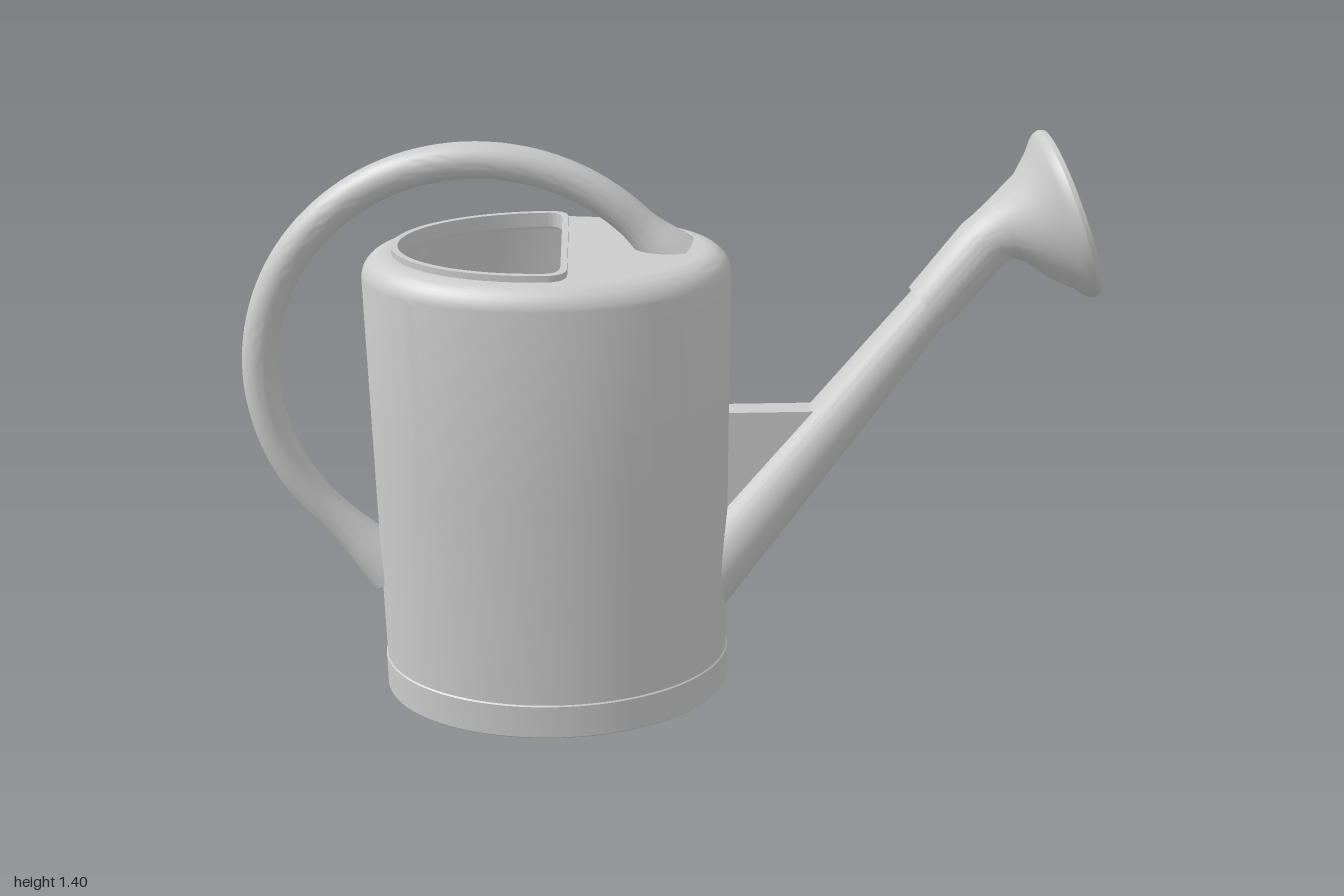
import * as THREE from 'three';
import { toCreasedNormals } from 'three/addons/utils/BufferGeometryUtils.js';

const CX = -0.28; // centre of the oval body
const TOP = 1.14;
const material = new THREE.MeshStandardMaterial({ color: 0xcccccc, side: THREE.DoubleSide });

function part(name, geometry, crease = 0.6) {
  const mesh = new THREE.Mesh(toCreasedNormals(geometry, crease), material);
  mesh.name = name;
  return mesh;
}

// Skin over circles in the xy plane's path: each section is [x, y, axisAngle, radius]
function loft(sections, sides = 48) {
  const pos = [], index = [];
  for (const [x, y, a, r] of sections) {
    for (let j = 0; j < sides; j++) {
      const t = (j / sides) * Math.PI * 2;
      const u = r * Math.cos(t);
      pos.push(x - u * Math.sin(a), y + u * Math.cos(a), r * Math.sin(t));
    }
  }
  for (let i = 0; i < sections.length - 1; i++) {
    for (let j = 0; j < sides; j++) {
      const k = (j + 1) % sides;
      const a = i * sides + j, b = i * sides + k;
      index.push(a, b, b + sides, a, b + sides, a + sides);
    }
  }
  const g = new THREE.BufferGeometry();
  g.setAttribute('position', new THREE.Float32BufferAttribute(pos, 3));
  g.setIndex(index);
  return g;
}

// D-shaped outline: half an ellipse closed by a straight edge with round corners
function dOutline(a, b, cut, Kind) {
  const s = new Kind();
  s.absellipse(0, 0, a, b, Math.PI / 2, Math.PI * 1.5, false, 0);
  s.quadraticCurveTo(cut, -b, cut, -b + 0.05);
  s.lineTo(cut, b - 0.05);
  s.quadraticCurveTo(cut, b, 0, b);
  return s;
}

function body() {
  const profile = [[0.13, 0], [0.425, 0], [0.43, 0.005], [0.43, 0.09], [0.427, 0.093], [0.427, 0.6]]
    .map(([r, y]) => new THREE.Vector2(r, y));
  for (let i = 0; i <= 10; i++) {
    const t = (i / 10) * Math.PI / 2;
    profile.push(new THREE.Vector2(0.367 + 0.06 * Math.cos(t), TOP - 0.06 + 0.06 * Math.sin(t)));
  }
  const g = new THREE.LatheGeometry(profile, 96);
  // narrow the depth by a constant amount so the shoulder stays even
  const p = g.attributes.position;
  for (let i = 0; i < p.count; i++) {
    const r = Math.hypot(p.getX(i), p.getZ(i));
    p.setZ(i, p.getZ(i) * Math.max(0, r - 0.13) / r);
  }
  g.translate(CX, 0, 0);
  return part('body', g, 0.5);
}

function topPlate() {
  const s = new THREE.Shape();
  s.absellipse(0, 0, 0.367, 0.237, 0, Math.PI * 2, false, 0);
  s.holes.push(dOutline(0.34, 0.225, 0.035, THREE.Path));
  const g = new THREE.ShapeGeometry(s, 96);
  g.rotateX(-Math.PI / 2).translate(CX, TOP, 0);
  return part('topPlate', g);
}

function fillingRim() {
  const s = dOutline(0.355, 0.24, 0.05, THREE.Shape);
  s.holes.push(dOutline(0.34, 0.225, 0.035, THREE.Path));
  const g = new THREE.ExtrudeGeometry(s, { depth: 0.035, bevelEnabled: false, curveSegments: 48 });
  g.rotateX(-Math.PI / 2).translate(CX, TOP - 0.02, 0);
  return part('fillingRim', g);
}

function handle() {
  const sections = [];
  const R = 0.52, cx = -0.44, cy = 0.83, r = 0.042;
  const from = Math.PI * 1.235, to = Math.PI * 0.25;
  const at = (t, along, radius) => [
    cx + R * Math.cos(t) + along * Math.sin(t),
    cy + R * Math.sin(t) - along * Math.cos(t),
    t - Math.PI / 2, radius];
  // flared lower foot, arc, flared upper foot
  for (const [d, rad] of [[-0.22, 0.07], [-0.17, 0.062], [-0.12, 0.052], [-0.06, 0.044]]) sections.push(at(from, d, rad));
  for (let i = 0; i <= 64; i++) sections.push(at(from + (to - from) * i / 64, 0, r));
  for (const [d, rad] of [[0.03, 0.045], [0.06, 0.052], [0.09, 0.06], [0.12, 0.066]]) sections.push(at(to, d, rad));
  return part('handle', loft(sections, 32), 0.8);
}

function spout() {
  const a = Math.atan2(0.8, 0.598);
  return part('spout', loft([[0.06, 0.24, a, 0.09], [0.64, 1.017, a, 0.054]]));
}

function rose() {
  const a = 0.93, b = 0.354; // neck and face angles
  const nx = Math.cos(b), ny = Math.sin(b);
  const head = (s, r) => [0.93 - s * nx, 1.21 - s * ny, b, r];
  return part('rose', loft([
    [0.62, 0.99, a, 0.05], [0.62, 0.99, a, 0.065], [0.735, 1.14, a - 0.03, 0.067],
    [0.757, 1.156, 0.78, 0.069], [0.785, 1.169, 0.55, 0.082],
    head(0.09, 0.129), head(0.045, 0.172), head(0.03, 0.192),
    head(0.02, 0.2), head(0.008, 0.204), head(-0.003, 0.2), head(-0.006, 0.19),
    head(-0.004, 0.163), head(0.003, 0.161), head(0.003, 0),
  ], 64), 0.55);
}

function brace() {
  const s = new THREE.Shape([[0.12, 0.73], [0.12, 0.4], [0.2, 0.45], [0.4, 0.73]].map(([x, y]) => new THREE.Vector2(x, y)));
  const g = new THREE.ExtrudeGeometry(s, { depth: 0.056, bevelEnabled: false });
  g.translate(0, 0, -0.028);
  return part('spoutBrace', g);
}

export function createModel() {
  const group = new THREE.Group();
  group.name = 'wateringCan';
  group.add(body(), topPlate(), fillingRim(), handle(), spout(), rose(), brace());
  return group;
}
